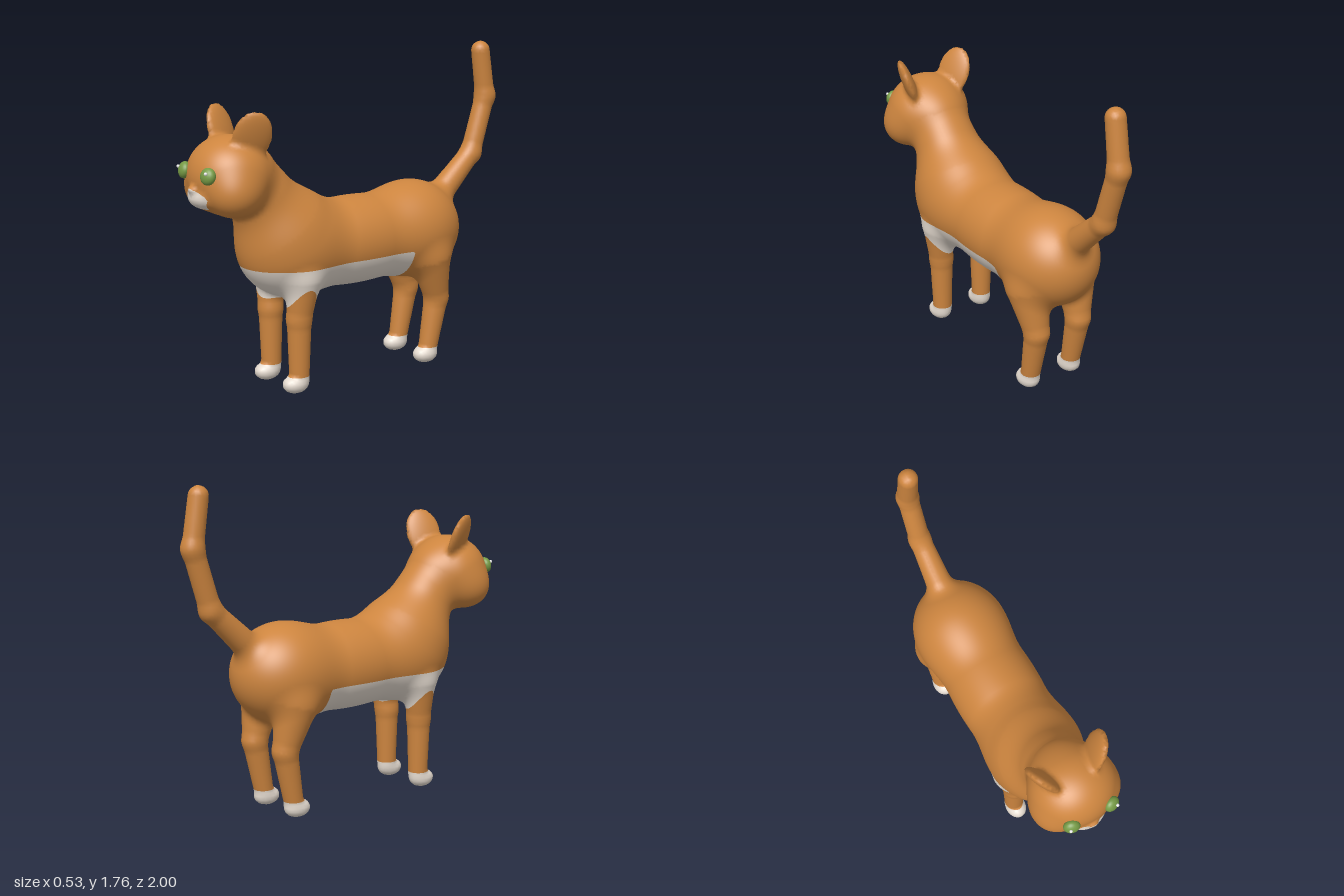
import * as THREE from 'three';

const V = (x, y, z) => new THREE.Vector3(x, y, z);

// ---- Distance helpers used to sculpt the smooth skin ----
const smin = (a, b, k) => {
  const h = Math.max(k - Math.abs(a - b), 0) / k;
  return Math.min(a, b) - h * h * k / 4;
};
const ellipsoid = (x, y, z, c, r) => {
  const px = (x - c[0]) / r[0], py = (y - c[1]) / r[1], pz = (z - c[2]) / r[2];
  const k0 = Math.hypot(px, py, pz);
  return k0 * (k0 - 1) / (Math.hypot(px / r[0], py / r[1], pz / r[2]) + 1e-9);
};
// Tapered limb through points [x, y, z, radius]
const limb = (x, y, z, pts, k) => {
  let d = 9;
  for (let i = 0; i + 1 < pts.length; i++) {
    const a = pts[i], b = pts[i + 1];
    const ux = b[0] - a[0], uy = b[1] - a[1], uz = b[2] - a[2];
    const dot = (x - a[0]) * ux + (y - a[1]) * uy + (z - a[2]) * uz;
    const t = Math.min(1, Math.max(0, dot / (ux * ux + uy * uy + uz * uz)));
    const s = Math.hypot(x - a[0] - ux * t, y - a[1] - uy * t, z - a[2] - uz * t) - a[3] - (b[3] - a[3]) * t;
    d = smin(d, s, k);
  }
  return d;
};

// ---- Body proportions ----
const NECK = [[0, 0.9, 0.47, 0.2], [0, 1.16, 0.66, 0.16]];
const FRONT_LEG = [[0.135, 0.08, 0.435, 0.053], [0.137, 0.4, 0.435, 0.065], [0.155, 0.61, 0.42, 0.09]];
const HIND_LEG = [[0.135, 0.08, -0.435, 0.052], [0.137, 0.37, -0.49, 0.067], [0.15, 0.61, -0.43, 0.115]];
const TAIL = [[0, 0.88, -0.58, 0.075], [0, 1.13, -0.845, 0.056], [0, 1.45, -0.944, 0.055], [0, 1.71, -0.905, 0.052]];

// Ear axes: up and outward, across, and through its thickness
const earUp = V(0.37, 0.93, 0).normalize();
const earThin = new THREE.Vector3().crossVectors(earUp, V(-0.4, 0, 0.92)).normalize();
const earWide = new THREE.Vector3().crossVectors(earThin, earUp);
const ear = (x, y, z) => {
  const p = V(x - 0.15, y - 1.39, z - 0.715);
  return ellipsoid(p.dot(earWide), p.dot(earUp), p.dot(earThin), [0, 0, 0], [0.1, 0.142, 0.032]);
};

function skin(sx, y, z) {
  const x = Math.abs(sx);
  // torso
  let d = ellipsoid(x, y, z, [0, 0.78, 0.395], [0.262, 0.287, 0.3]);
  d = smin(d, ellipsoid(x, y, z, [0, 0.755, -0.395], [0.262, 0.27, 0.297]), 0.08);
  d = smin(d, ellipsoid(x, y, z, [0, 0.745, 0], [0.242, 0.24, 0.62]), 0.08);
  d = smin(d, limb(x, y, z, NECK, 0.02), 0.09);
  // head, cheeks, muzzle, nose tip
  let h = ellipsoid(x, y, z, [0, 1.18, 0.76], [0.232, 0.208, 0.215]);
  h = smin(h, ellipsoid(x, y, z, [0.122, 1.11, 0.8], [0.123, 0.12, 0.13]), 0.05);
  h = smin(h, ellipsoid(x, y, z, [0, 1.085, 0.9], [0.1, 0.06, 0.085]), 0.03);
  h = smin(h, ellipsoid(x, y, z, [0, 1.13, 0.965], [0.03, 0.022, 0.034]), 0.02);
  if (y > 1.2) h = smin(h, ear(x, y, z), 0.03);
  d = smin(d, h, 0.05);
  // legs, paws and tail
  d = smin(d, limb(x, y, z, FRONT_LEG, 0.02), 0.06);
  d = smin(d, limb(x, y, z, HIND_LEG, 0.02), 0.06);
  d = smin(d, ellipsoid(x, y, z, [0.137, 0.05, 0.46], [0.058, 0.049, 0.074]), 0.015);
  d = smin(d, ellipsoid(x, y, z, [0.137, 0.05, -0.415], [0.058, 0.049, 0.074]), 0.015);
  return smin(d, limb(x, y, z, TAIL, 0.03), 0.06);
}

function gradient(p) {
  const e = 0.002;
  return V(
    skin(p.x + e, p.y, p.z) - skin(p.x - e, p.y, p.z),
    skin(p.x, p.y + e, p.z) - skin(p.x, p.y - e, p.z),
    skin(p.x, p.y, p.z + e) - skin(p.x, p.y, p.z - e)
  ).divideScalar(2 * e);
}

// Wraps the sculpted form in quads: one vertex per crossed grid cell
function wrapSkin(step) {
  const lo = [-0.324, -0.04, -1.05];
  const n = [0.65, 1.86, 2.1].map(s => Math.ceil(s / step) + 1);
  const stride = [1, n[0], n[0] * n[1]];
  const f = new Float32Array(n[0] * n[1] * n[2]);
  const each = (start, end, fn) => {
    for (let k = start; k < n[2] - end; k++)
      for (let j = start; j < n[1] - end; j++)
        for (let i = start; i < n[0] - end; i++) fn(i, j, k, i + j * stride[1] + k * stride[2]);
  };
  each(0, 0, (i, j, k, id) => { f[id] = skin(lo[0] + i * step, lo[1] + j * step, lo[2] + k * step); });

  const verts = new Map();
  each(0, 1, (i, j, k, id) => {
    const sum = V(0, 0, 0);
    let count = 0;
    for (let c = 0; c < 8; c++) for (let a = 0; a < 3; a++) {
      if (c >> a & 1) continue;
      const o = [c & 1, c >> 1 & 1, c >> 2 & 1];
      const p = id + o[0] + o[1] * stride[1] + o[2] * stride[2], q = p + stride[a];
      if ((f[p] < 0) === (f[q] < 0)) continue;
      o[a] = f[p] / (f[p] - f[q]);
      sum.add(V(...o));
      count++;
    }
    if (!count) return;
    const v = sum.divideScalar(count).add(V(i, j, k)).multiplyScalar(step).add(V(...lo));
    const g = gradient(v);
    const move = skin(v.x, v.y, v.z) / Math.max(g.lengthSq(), 0.2);
    verts.set(id, v.addScaledVector(g, -Math.max(-step, Math.min(step, move))));
  });

  const tris = [];
  each(1, 1, (i, j, k, id) => {
    for (let a = 0; a < 3; a++) {
      const inside = f[id] < 0;
      if (inside === (f[id + stride[a]] < 0)) continue;
      const b = stride[(a + 1) % 3], c = stride[(a + 2) % 3];
      const q = [id - b - c, id - c, id, id - b].map(m => verts.get(m));
      if (!inside) q.reverse();
      tris.push([q[0], q[1], q[2]], [q[0], q[2], q[3]]);
    }
  });
  return tris;
}

// Cuts triangles cleanly along rule = 0, keeping the side with the given sign
function cut(tris, rule, sign) {
  const out = [];
  for (const t of tris) {
    const g = t.map(p => sign * rule(Math.abs(p.x), p.y, p.z));
    const poly = [];
    for (let i = 0; i < 3; i++) {
      const j = (i + 1) % 3;
      if (g[i] >= 0) poly.push(t[i]);
      if ((g[i] >= 0) !== (g[j] >= 0)) poly.push(t[i].clone().lerp(t[j], g[i] / (g[i] - g[j])));
    }
    for (let i = 2; i < poly.length; i++) out.push([poly[0], poly[i - 1], poly[i]]);
  }
  return out;
}

function skinMesh(name, tris, material) {
  const points = tris.flat();
  const geo = new THREE.BufferGeometry().setFromPoints(points);
  const normals = points.flatMap(p => gradient(p).normalize().toArray());
  geo.setAttribute('normal', new THREE.Float32BufferAttribute(normals, 3));
  const mesh = new THREE.Mesh(geo, material);
  mesh.name = name;
  return mesh;
}

export function createModel() {
  const mat = (name, color) => Object.assign(new THREE.MeshStandardMaterial({ color }), { name });
  const orange = mat('orangeFur', 0xcd853f);
  const cream = mat('creamFur', 0xe4dacf);
  const green = mat('greenEye', 0x759a45);
  const white = mat('eyeGlint', 0xf4f4f4);
  const group = new THREE.Group();
  group.name = 'cat';

  // Regions of the skin, each claimed in turn
  const regions = [
    ['paws', cream, (x, y) => 0.092 - y],
    ['muzzlePatch', cream, (x, y, z) =>
      Math.min(z - 0.85, 1.142 - 0.45 * x - y, y - 1.03, 0.097 - x - 0.6 * Math.abs(y - 1.085))],
    ['bellyPatch', cream, (x, y, z) =>
      Math.min(0.68 - y, z + 0.26, y - 0.43 - 0.6 * x + 8 * (z - 0.435) ** 2)],
    ['legs', orange, (x, y) => 0.46 - y],
    ['tail', orange, (x, y, z) => Math.min(y - 0.85, -0.66 - z)],
    ['head', orange, (x, y, z) => y - 1.05 + z - 0.65],
  ];
  let rest = wrapSkin(0.018);
  for (const [name, material, rule] of regions) {
    group.add(skinMesh(name, cut(rest, rule, 1), material));
    rest = cut(rest, rule, -1);
  }
  group.add(skinMesh('body', rest, orange));

  // Eyes with a small glint
  for (const side of [-1, 1]) {
    const eye = new THREE.Mesh(new THREE.SphereGeometry(0.044, 24, 16), green);
    eye.name = side > 0 ? 'leftEye' : 'rightEye';
    eye.scale.z = 0.7;
    eye.position.set(side * 0.116, 1.212, 0.952);
    eye.rotation.set(-0.25, side * 0.3, 0);
    const glint = new THREE.Mesh(new THREE.SphereGeometry(0.009, 12, 8), white);
    glint.name = 'eyeGlint';
    glint.position.set(side * 0.135, 1.23, 0.976);
    group.add(eye, glint);
  }
  return group;
}
